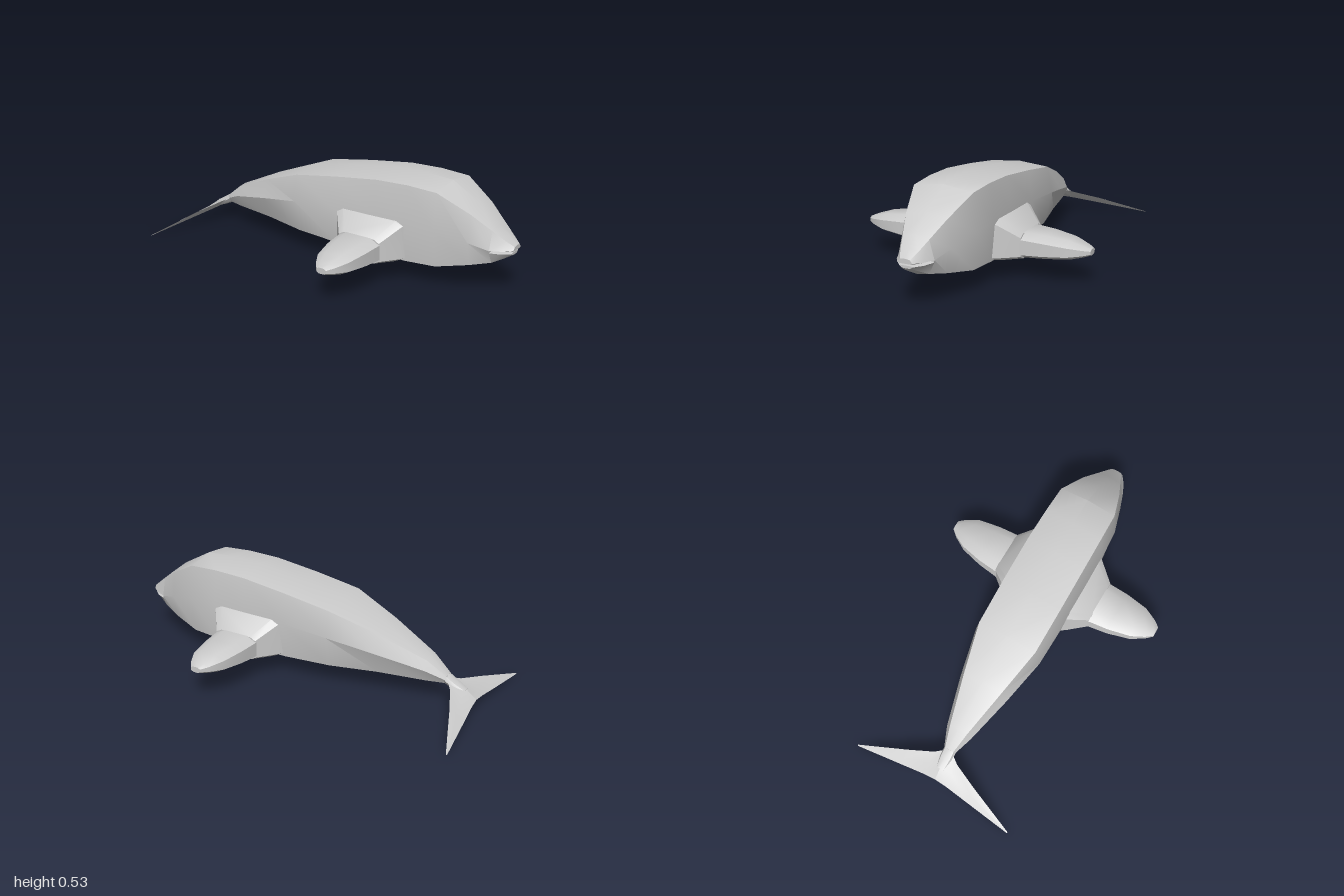
import * as THREE from 'three';
import { toCreasedNormals, mergeVertices } from 'three/addons/utils/BufferGeometryUtils.js';

const material = new THREE.MeshStandardMaterial({ color: 0xcccccc, side: THREE.DoubleSide });

// Skin a list of closed rings (equal point counts), cap both ends, face outwards
function loft(name, rings, crease = 0.5) {
  const n = rings[0].length;
  const pos = rings.flat(2);
  const index = [];
  for (let r = 0; r < rings.length - 1; r++) {
    for (let i = 0; i < n; i++) {
      const j = (i + 1) % n;
      const a = r * n + i, b = r * n + j, c = a + n, d = b + n;
      index.push(a, b, d, a, d, c);
    }
  }
  const last = (rings.length - 1) * n;
  for (let i = 1; i < n - 1; i++) {
    index.push(0, i + 1, i, last, last + i, last + i + 1);
  }
  // Signed volume tells which way the skin faces
  const p = (i) => new THREE.Vector3().fromArray(pos, i * 3);
  let volume = 0;
  for (let t = 0; t < index.length; t += 3) {
    volume += p(index[t]).dot(p(index[t + 1]).cross(p(index[t + 2])));
  }
  if (volume < 0) index.reverse();
  const geometry = new THREE.BufferGeometry();
  geometry.setAttribute('position', new THREE.Float32BufferAttribute(pos, 3));
  geometry.setIndex(index);
  const mesh = new THREE.Mesh(toCreasedNormals(mergeVertices(geometry), crease), material);
  mesh.name = name;
  return mesh;
}

// Eight-point body section: ridge, back edge, flank, belly edge, keel, mirrored
function bodyRing([z, topY, edgeX, edgeY, midX, midY, lowX, lowY, keelY]) {
  return [
    [0, topY, z], [edgeX, edgeY, z], [midX, midY, z], [lowX, lowY, z],
    [0, keelY, z], [-lowX, lowY, z], [-midX, midY, z], [-edgeX, edgeY, z],
  ];
}

// Flipper section: flattened octagon in the y-z plane
function flipperRing(side, x, y0, y1, z0, z1, corner) {
  const cy = (y0 + y1) / 2, cz = (z0 + z1) / 2;
  const hy = (y1 - y0) / 2, hz = (z1 - z0) / 2;
  return [
    [1, corner], [corner, 1], [-corner, 1], [-1, corner],
    [-1, -corner], [-corner, -1], [corner, -1], [1, -corner],
  ].map(([u, v]) => [side * x, cy + v * hy, cz + u * hz]);
}

export function createModel() {
  const model = new THREE.Group();
  model.name = 'whale';

  // Body from the cheeks back to the tail stock
  model.add(loft('body', [
    [0.90, 0.350, 0.070, 0.335, 0.095, 0.240, 0.065, 0.170, 0.160],
    [0.80, 0.430, 0.110, 0.410, 0.130, 0.270, 0.105, 0.147, 0.137],
    [0.64, 0.522, 0.160, 0.500, 0.178, 0.310, 0.155, 0.117, 0.105],
    [0.48, 0.532, 0.165, 0.508, 0.188, 0.320, 0.172, 0.113, 0.102],
    [0.30, 0.525, 0.168, 0.502, 0.192, 0.320, 0.175, 0.112, 0.100],
    [0.05, 0.488, 0.168, 0.470, 0.195, 0.310, 0.170, 0.112, 0.100],
    [-0.20, 0.445, 0.165, 0.430, 0.192, 0.290, 0.150, 0.116, 0.100],
    [-0.45, 0.352, 0.110, 0.340, 0.138, 0.240, 0.095, 0.120, 0.100],
    [-0.70, 0.238, 0.050, 0.230, 0.072, 0.180, 0.045, 0.115, 0.103],
    [-0.80, 0.160, 0.025, 0.155, 0.032, 0.135, 0.020, 0.115, 0.110],
  ].map(bodyRing)));

  // Jaws, parted by a narrow mouth
  model.add(loft('upperJaw', [
    [0.90, 0.350, 0.070, 0.335, 0.095, 0.242, 0.070, 0.234, 0.234],
    [0.96, 0.300, 0.046, 0.290, 0.068, 0.242, 0.050, 0.236, 0.238],
    [1.00, 0.265, 0.026, 0.262, 0.038, 0.246, 0.030, 0.241, 0.241],
  ].map(bodyRing)));
  model.add(loft('lowerJaw', [
    [0.90, 0.234, 0.070, 0.234, 0.095, 0.230, 0.065, 0.170, 0.160],
    [0.95, 0.230, 0.050, 0.230, 0.072, 0.227, 0.044, 0.195, 0.188],
    [0.99, 0.229, 0.028, 0.229, 0.036, 0.226, 0.022, 0.217, 0.215],
  ].map(bodyRing)));

  for (const side of [1, -1]) {
    const label = side > 0 ? 'left' : 'right';

    // Shoulder flaring out of the flank
    model.add(loft(label + 'Shoulder', [
      flipperRing(side, 0.15, 0.105, 0.335, 0.05, 0.49, 0.8),
      flipperRing(side, 0.195, 0.107, 0.318, 0.08, 0.47, 0.8),
      flipperRing(side, 0.29, 0.112, 0.24, 0.16, 0.40, 0.75),
    ]));

    // Paddle flipper
    model.add(loft(label + 'Flipper', [
      flipperRing(side, 0.28, 0.111, 0.242, 0.155, 0.403, 0.6),
      flipperRing(side, 0.40, 0.118, 0.237, 0.17, 0.398, 0.55),
      flipperRing(side, 0.52, 0.130, 0.224, 0.20, 0.382, 0.5),
      flipperRing(side, 0.59, 0.148, 0.203, 0.24, 0.35, 0.5),
      flipperRing(side, 0.625, 0.160, 0.190, 0.27, 0.325, 0.5),
    ], 0.8));

    // Tail fluke: leading edge, upper ridge, trailing edge, lower ridge
    model.add(loft(label + 'Fluke', [
      [0, -0.79, 0.14, -0.89, 0.105, -0.955, 0.055, 0.065],
      [0.07, -0.84, 0.112, -0.90, 0.085, -0.958, 0.046, 0.058],
      [0.20, -0.895, 0.080, -0.93, 0.058, -0.972, 0.030, 0.040],
      [0.46, -0.994, 0.004, -0.997, 0.003, -1.0, 0.001, 0.0],
    ].map(([x, leadZ, leadY, midZ, ridgeY, trailZ, trailY, underY]) => [
      [side * x, leadY, leadZ], [side * x, ridgeY, midZ],
      [side * x, trailY, trailZ], [side * x, underY, midZ],
    ]), 0.7));
  }

  // Tail stock joining the body and the flukes
  model.add(loft('tailStock', [
    [-0.79, 0.165, 0.026, 0.158, 0.034, 0.135, 0.022, 0.115, 0.108],
    [-0.84, 0.135, 0.026, 0.128, 0.036, 0.108, 0.024, 0.092, 0.085],
    [-0.90, 0.100, 0.020, 0.095, 0.030, 0.082, 0.020, 0.068, 0.062],
  ].map(bodyRing)));

  return model;
}
